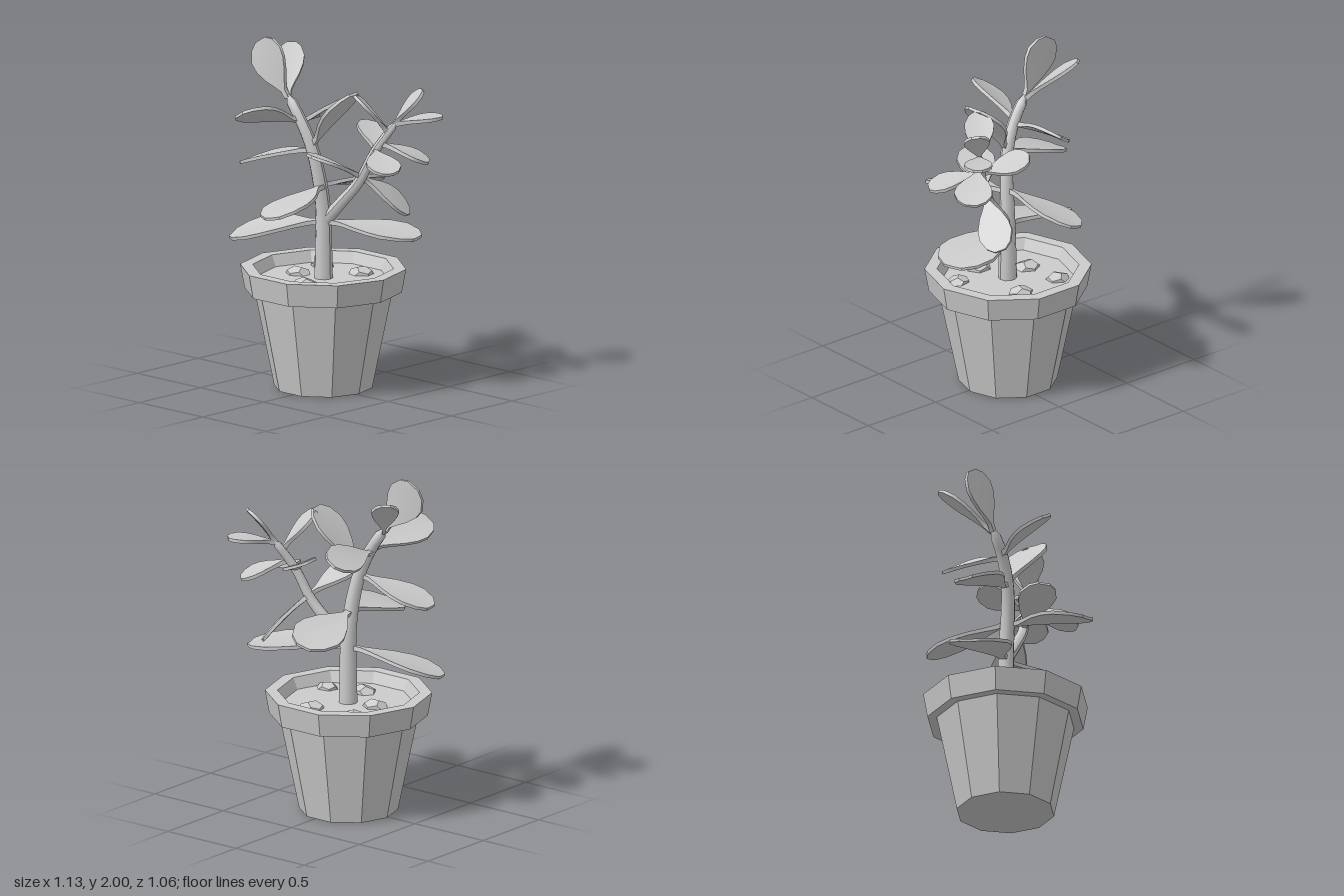
import * as THREE from 'three';

const grey = new THREE.MeshStandardMaterial({ color: 0xcccccc });
const facetGrey = new THREE.MeshStandardMaterial({ color: 0xcccccc, flatShading: true });
const V = (p) => new THREE.Vector3(...p);

// Add a named mesh to a parent
function add(parent, name, geometry, material) {
  const mesh = new THREE.Mesh(geometry, material);
  mesh.name = name;
  parent.add(mesh);
  return mesh;
}

// Split a geometry into flat facets
function facet(geometry) {
  const g = geometry.index ? geometry.toNonIndexed() : geometry;
  g.computeVertexNormals();
  return g;
}

// Round stem along a curve, tapering and closed at the tip
function stemGeometry(points, r0, r1) {
  const curve = new THREE.CatmullRomCurve3(points.map(V));
  const rings = 18, sides = 10;
  const g = new THREE.TubeGeometry(curve, rings, 1, sides);
  const pos = g.attributes.position, p = new THREE.Vector3();
  for (let i = 0; i <= rings; i++) {
    const c = curve.getPointAt(i / rings);
    const r = i === rings ? 0.001 : THREE.MathUtils.lerp(r0, r1, i / rings);
    for (let j = 0; j <= sides; j++) {
      const k = i * (sides + 1) + j;
      p.fromBufferAttribute(pos, k).sub(c).multiplyScalar(r).add(c);
      pos.setXYZ(k, p.x, p.y, p.z);
    }
  }
  g.computeVertexNormals();
  return g;
}

// Leaf stations: [distance along, half width, half thickness]
const STATIONS = [
  [0, 0.12, 0.014], [0.13, 0.13, 0.013], [0.25, 0.36, 0.011], [0.4, 0.68, 0.010],
  [0.58, 0.94, 0.010], [0.74, 1, 0.010], [0.91, 0.74, 0.009], [1, 0.33, 0.008],
];

// Paddle-shaped leaf from base to tip, gently arched and cupped
function leafGeometry(base, tip, halfWidth, up) {
  const from = V(base), along = V(tip).sub(from);
  const length = along.length();
  const segs = STATIONS.length - 1;
  const g = new THREE.BoxGeometry(2, 2, segs, 4, 1, segs);
  const pos = g.attributes.position;
  for (let i = 0; i < pos.count; i++) {
    const x = pos.getX(i), y = pos.getY(i);
    const [t, w, h] = STATIONS[Math.round(pos.getZ(i) + segs / 2)];
    const arch = 0.025 * length * Math.sin(Math.PI * t);
    const cup = 0.05 * halfWidth * w * x * x;
    pos.setXYZ(i, x * w * halfWidth, y * h + arch + cup, t * length);
  }
  const zAxis = along.normalize();
  const xAxis = V(up).cross(zAxis).normalize();
  const yAxis = zAxis.clone().cross(xAxis);
  g.applyMatrix4(new THREE.Matrix4().makeBasis(xAxis, yAxis, zAxis).setPosition(from));
  g.computeVertexNormals();
  return g;
}

const UP = [0, 1, 0];
// Leaves in pairs up each stem: [base, tip, half width, upper side]
const TRUNK_LEAVES = [
  [[-0.03, 0.965, -0.01], [-0.545, 0.84, 0.185], 0.18, [0, 1, 0.15]],
  [[-0.01, 0.965, -0.02], [0.54, 0.925, -0.2], 0.178, UP],
  [[-0.01, 1.175, 0.0], [0.09, 1.09, 0.52], 0.155, [-0.2, 1, 0]],
  [[-0.03, 1.175, 0.0], [-0.105, 1.1, -0.52], 0.145, [-0.3, 1, 0]],
  [[-0.06, 1.39, 0.04], [-0.51, 1.26, 0.13], 0.137, UP],
  [[-0.06, 1.41, 0.04], [0.22, 1.75, -0.01], 0.13, UP],
  [[-0.14, 1.55, 0.06], [-0.215, 1.64, 0.48], 0.11, [-0.5, 0.87, 0]],
  [[-0.14, 1.535, 0.05], [-0.165, 1.57, -0.35], 0.105, [-0.55, 0.83, 0]],
  [[-0.22, 1.67, 0.07], [-0.42, 1.98, 0.085], 0.12, [0.1, 0, 1]],
  [[-0.22, 1.67, 0.06], [-0.42, 1.92, -0.165], 0.078, [0.3, 0.5, 0.35]],
];
const BRANCH_LEAVES = [
  [[0.2, 1.25, -0.09], [0.32, 1.02, -0.36], 0.1, [0.7, 0.4, -0.5]],
  [[0.2, 1.25, -0.09], [0.07, 1.4, 0.2], 0.11, UP],
  [[0.27, 1.41, -0.13], [0.525, 1.335, 0.03], 0.1, [-0.12, 1, -0.12]],
  [[0.27, 1.405, -0.13], [0.07, 1.51, -0.32], 0.1, [0.4, 0.9, 0]],
  [[0.33, 1.51, -0.18], [0.2, 1.74, -0.03], 0.085, UP],
  [[0.3, 1.45, -0.15], [0.51, 1.345, -0.325], 0.11, UP],
  [[0.35, 1.56, -0.21], [0.47, 1.76, -0.32], 0.073, [-0.45, 0.45, 0.65]],
  [[0.35, 1.56, -0.21], [0.535, 1.6, -0.415], 0.08, UP],
];

export function createModel() {
  const model = new THREE.Group();
  model.name = 'pottedPlant';

  // Ten-sided pot with a flared rim, and the soil inside it
  const potGroup = new THREE.Group();
  potGroup.name = 'potGroup';
  potGroup.position.set(-0.025, 0, -0.015);
  model.add(potGroup);
  const lathe = (pts) => facet(new THREE.LatheGeometry(
    pts.map(([r, y]) => new THREE.Vector2(r, y)), 10, Math.PI / 10));
  add(potGroup, 'pot', lathe([[0, 0], [0.282, 0], [0.398, 0.563], [0.452, 0.563],
    [0.477, 0.7], [0.405, 0.7], [0.375, 0.635]]), facetGrey);
  add(potGroup, 'soil', lathe([[0.375, 0.635], [0, 0.635]]), facetGrey);

  // Pebbles half sunk in the soil: x, z, radius
  const pebbles = [[-0.17, 0.03, 0.08], [0.09, -0.22, 0.08], [0.05, 0.2, 0.08],
    [0.26, 0.13, 0.07], [-0.2, -0.2, 0.075]];
  pebbles.forEach(([x, z, r], i) => {
    const g = facet(new THREE.DodecahedronGeometry(r));
    g.rotateY(i * 1.3);
    g.scale(1, 0.65, 0.9);
    add(potGroup, 'pebble', g, facetGrey).position.set(x, 0.628, z);
  });

  // Trunk curving to the right, and the side branch to the left
  add(model, 'trunk', stemGeometry([[-0.022, 0.6, -0.015], [-0.022, 0.8, -0.015],
    [-0.022, 1.05, -0.01], [-0.035, 1.25, 0.015], [-0.07, 1.42, 0.04],
    [-0.135, 1.56, 0.06], [-0.23, 1.7, 0.07]], 0.054, 0.03), grey);
  add(model, 'branch', stemGeometry([[-0.02, 0.96, -0.015], [0.08, 1.08, -0.045],
    [0.19, 1.22, -0.085], [0.27, 1.4, -0.13], [0.36, 1.58, -0.22]], 0.037, 0.022), grey);

  // Leaves
  for (const [name, list] of [['trunkLeaf', TRUNK_LEAVES], ['branchLeaf', BRANCH_LEAVES]]) {
    const group = new THREE.Group();
    group.name = name + 'Group';
    list.forEach((leaf) => add(group, name, leafGeometry(...leaf), grey));
    model.add(group);
  }
  return model;
}
